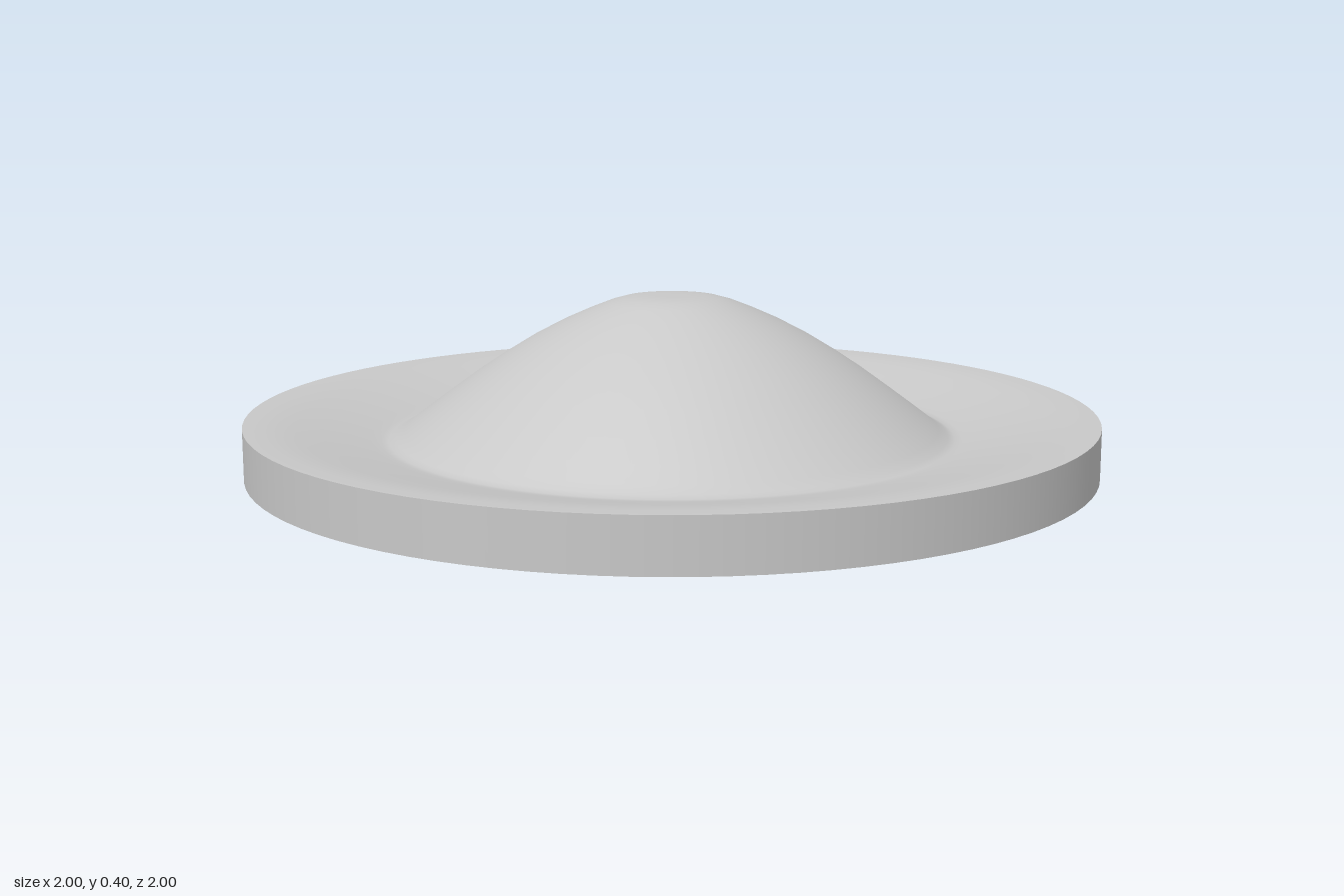
import * as THREE from 'three';

const SEGMENTS = 96;

// Revolves [radius, height] pairs, listed from bottom to top / inside to outside
function revolve(name, points, material) {
  const profile = points.map(([r, y]) => new THREE.Vector2(r, y));
  const mesh = new THREE.Mesh(new THREE.LatheGeometry(profile, SEGMENTS), material);
  mesh.name = name;
  return mesh;
}

export function createModel() {
  const grey = new THREE.MeshStandardMaterial({ color: 0xc8c8c8 });
  grey.name = 'light grey';

  const model = new THREE.Group();
  model.name = 'domedDisc';

  // Flat underside and straight outer wall, kept apart for sharp edges
  model.add(revolve('underside', [[0, 0], [1, 0]], grey));
  model.add(revolve('outerWall', [[1, 0], [1, 0.12]], grey));

  // Dished rim falling into a valley, then rising to the central dome
  model.add(revolve('dishAndDome', [
    [1, 0.12], [0.96, 0.119], [0.92, 0.115], [0.88, 0.108], [0.82, 0.096],
    [0.76, 0.083], [0.71, 0.073], [0.685, 0.068], [0.668, 0.067], [0.652, 0.073],
    [0.63, 0.088], [0.585, 0.122], [0.53, 0.163], [0.46, 0.214], [0.4, 0.254],
    [0.33, 0.297], [0.26, 0.334], [0.2, 0.361], [0.15, 0.381], [0.115, 0.391],
    [0.08, 0.396], [0.04, 0.397], [0, 0.397],
  ], grey));

  return model;
}
